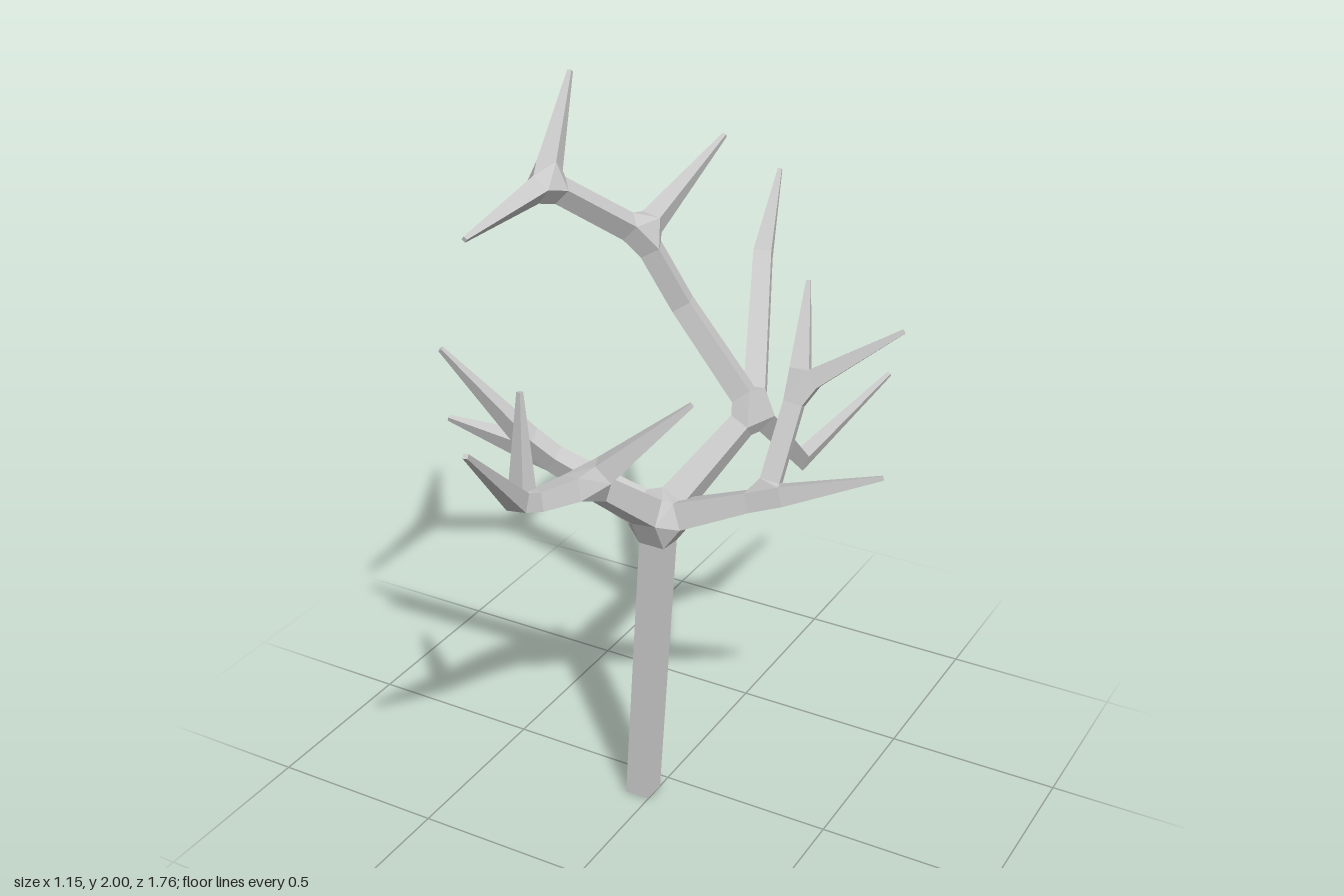
import * as THREE from 'three';
import { ConvexGeometry } from 'three/addons/geometries/ConvexGeometry.js';

// Branch skeleton: name, parent, x, y, z, half thickness
const JOINTS = [
  ['root', null, -0.035, 0, 0.085, 0.036],
  ['crotch', 'root', -0.03, 0.855, -0.005, 0.038],
  // left-hand limb
  ['sideFork', 'crotch', -0.34, 1.04, 0.11, 0.027],
  ['sideTipLow', 'sideFork', -0.575, 1.115, 0.19, 0.006],
  ['sideTipHigh', 'sideFork', -0.53, 1.36, 0.27, 0.006],
  // opposite limb
  ['outerFork', 'crotch', 0.265, 0.97, -0.06, 0.027],
  ['outerTip', 'outerFork', 0.57, 1.08, -0.12, 0.006],
  ['upperFork', 'outerFork', 0.285, 1.245, -0.2, 0.026],
  ['upperTipInner', 'upperFork', 0.24, 1.49, -0.335, 0.006],
  ['upperTipOuter', 'upperFork', 0.535, 1.42, -0.295, 0.006],
  // front limb
  ['frontFork', 'crotch', -0.08, 1.085, 0.28, 0.031],
  ['frontTipInner', 'frontFork', 0.155, 1.31, 0.155, 0.006],
  ['frontEndFork', 'frontFork', -0.145, 1.1, 0.49, 0.025],
  ['frontTipUp', 'frontEndFork', -0.16, 1.4, 0.46, 0.006],
  ['frontTipOut', 'frontEndFork', -0.035, 1.44, 0.875, 0.006],
  // rear limb
  ['rearFork', 'crotch', 0.115, 1.1, -0.28, 0.03],
  ['rearDropElbow', 'rearFork', 0.115, 0.805, -0.6, 0.021],
  ['rearDropTip', 'rearDropElbow', 0.27, 1.01, -0.865, 0.006],
  ['rearRiseElbow', 'rearFork', -0.085, 1.37, -0.72, 0.026],
  ['rearRiseTip', 'rearRiseElbow', -0.11, 1.58, -0.87, 0.006],
  ['topElbow', 'rearFork', -0.11, 1.37, -0.28, 0.028],
  ['topFork', 'topElbow', -0.205, 1.575, -0.225, 0.028],
  ['topTipRear', 'topFork', -0.17, 1.74, -0.63, 0.006],
  ['crownFork', 'topFork', -0.355, 1.765, 0.01, 0.027],
  ['crownTipHigh', 'crownFork', -0.405, 2, -0.2, 0.006],
  ['crownTipFront', 'crownFork', -0.355, 1.735, 0.385, 0.006],
];

// Square ring of four points, slid along dir onto the plane with the given normal
function squareRing(centre, r, u, v, dir, normal) {
  return [[1, 1], [-1, 1], [-1, -1], [1, -1]].map(([a, b]) => {
    const o = u.clone().multiplyScalar(a * r).addScaledVector(v, b * r);
    return o.addScaledVector(dir, -o.dot(normal) / dir.dot(normal)).add(centre);
  });
}

export function createModel() {
  const tree = new THREE.Group();
  tree.name = 'bareTree';
  const bark = new THREE.MeshStandardMaterial({ color: 0xc8c8c8 });
  bark.name = 'pale grey bark';

  const addHull = (name, points) => {
    const mesh = new THREE.Mesh(new ConvexGeometry(points), bark);
    mesh.name = name;
    tree.add(mesh);
  };

  const nodes = {};
  for (const [name, parent, x, y, z, r] of JOINTS) {
    const node = { name, r, p: new THREE.Vector3(x, y, z), parent: nodes[parent], children: [], rings: [] };
    nodes[name] = node;
    if (node.parent) {
      node.parent.children.push(node);
      node.dir = node.p.clone().sub(node.parent.p).normalize();
    }
  }

  // Ring where a branch meets a joint: flat at tips, mitred at elbows, set back at forks
  function endRing(joint, branch, side) {
    const { dir, u, v } = branch;
    const count = joint.children.length;
    const centre = joint.p.clone();
    let normal = dir;
    if (count > 1) centre.addScaledVector(dir, side * joint.r * 1.8);
    else if (count === 1 && joint.parent) normal = joint.dir.clone().add(joint.children[0].dir).normalize();
    const ring = squareRing(centre, joint.r, u, v, dir, normal);
    joint.rings.push(...ring);
    return ring;
  }

  // Trunk and branches, carrying the square section round each bend
  for (const node of Object.values(nodes)) {
    const parent = node.parent;
    if (!parent) continue;
    const from = parent.parent ? parent : { dir: new THREE.Vector3(0, 1, 0), u: new THREE.Vector3(1, 0, 0), v: new THREE.Vector3(0, 0, 1) };
    const turn = new THREE.Quaternion().setFromUnitVectors(from.dir, node.dir);
    node.u = from.u.clone().applyQuaternion(turn);
    node.v = from.v.clone().applyQuaternion(turn);
    const points = [...endRing(parent, node, 1), ...endRing(node, node, -1)];
    if (!parent.parent) points.slice(0, 4).forEach((p) => { p.y = Math.max(p.y, 0); });
    addHull(parent.parent ? node.name + 'Branch' : 'trunk', points);
  }

  // Solid knots joining the branches at each fork
  for (const node of Object.values(nodes)) {
    if (node.children.length > 1) addHull(node.name + 'Knot', node.rings);
  }
  return tree;
}
